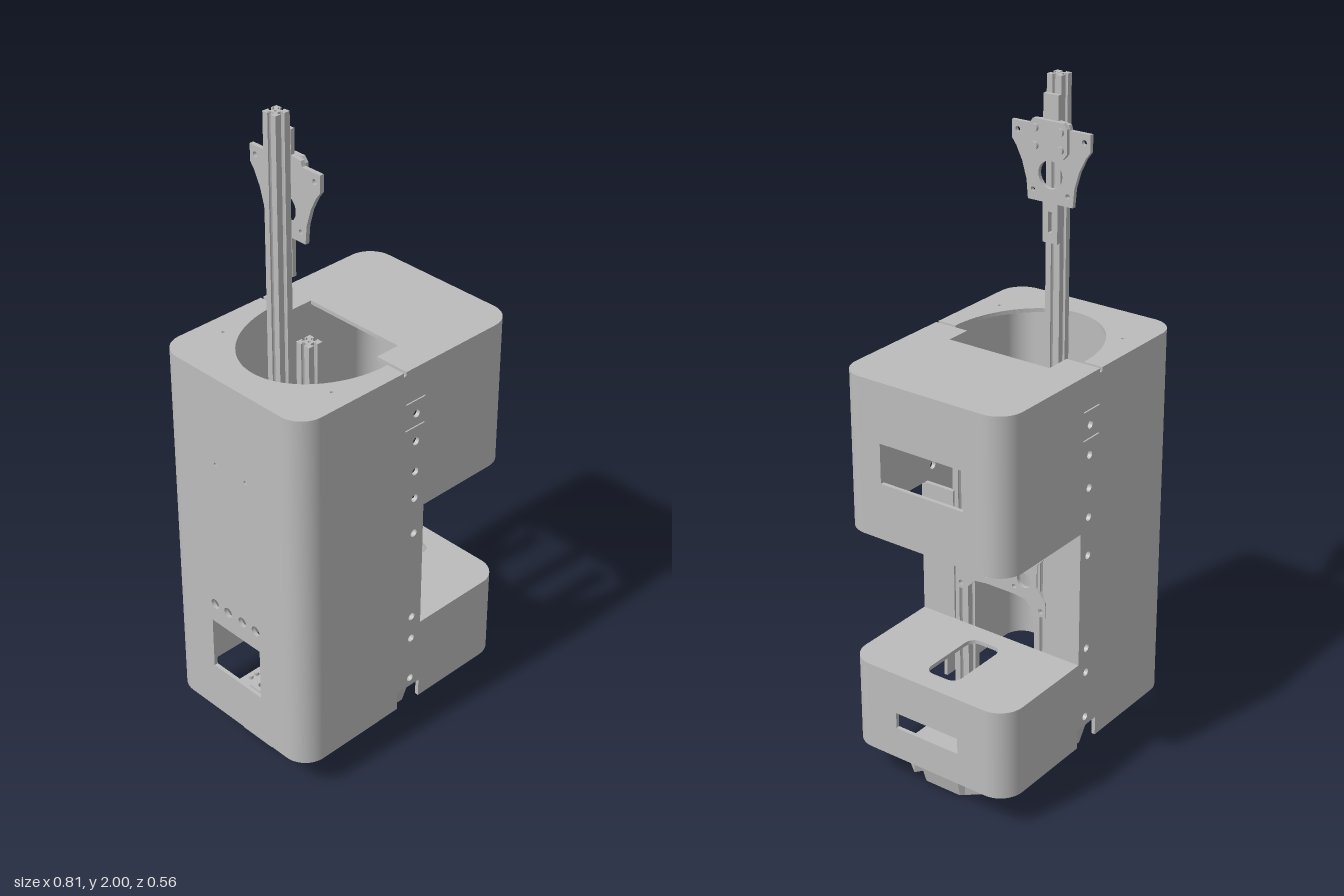
import * as THREE from 'three';

const X = 0.405, Z = 0.28, R = 0.075, T = 0.012;   // housing half sizes, corner radius, wall
const Y0 = 0.11, Y1 = 0.39, Y2 = 0.81, Y3 = 1.28;  // housing levels

const poly = pts => new THREE.Shape(pts.map(p => new THREE.Vector2(...p)));
const circle = (x, y, r, ry = r) => new THREE.Path().absellipse(x, y, r, ry, 0, Math.PI * 2, true);
const rect = (x0, y0, x1, y1) =>
  new THREE.Path([[x0, y0], [x0, y1], [x1, y1], [x1, y0]].map(p => new THREE.Vector2(...p)));
const mirrorPts = half => [...half, ...half.map(([x, y]) => [-x, y]).reverse()];

export function createModel() {
  const model = new THREE.Group();
  const grey = new THREE.MeshStandardMaterial({ color: 0xbcbcbc });
  grey.name = 'grey';

  const add = (name, geo, x = 0, y = 0, z = 0) => {
    const m = new THREE.Mesh(geo, grey);
    m.name = name;
    m.position.set(x, y, z);
    model.add(m);
    return m;
  };
  const extrude = (shape, depth, holes = []) => {
    shape.holes.push(...holes);
    return new THREE.ExtrudeGeometry(shape, { depth, bevelEnabled: false, curveSegments: 20 });
  };
  // Horizontal slab, drawn in (x, -z); vertical panel facing x, drawn in (-z, y)
  const slab = (name, shape, y, h, holes) => add(name, extrude(shape, h, holes).rotateX(-Math.PI / 2), 0, y, 0);
  const sidePanel = (name, shape, x, t, holes) => add(name, extrude(shape, t, holes).rotateY(Math.PI / 2), x, 0, 0);

  // Front and back housing walls with the C opening, bottom notch, screw holes and slits
  const xr = X - R, zr = Z - R;
  for (const s of [1, -1]) {
    const wall = poly([[-xr, Y0], [-0.03, Y0], [-0.03, 0.17], [0.06, 0.17], [0.06, Y0], [xr, Y0], [xr, Y1],
      [0.06, Y1], [0.06, Y2], [xr, Y2], [xr, Y3], [-0.02, Y3], [-0.02, Y3 - T], [-0.03, Y3 - T], [-0.03, Y3], [-xr, Y3]]);
    const holes = [1.13, 1.04, 0.94, 0.85, 0.73, 0.43, 0.35, 0.2].map(y => circle(0.023, y, 0.012));
    for (const y of [1.173, 1.088]) holes.push(rect(-0.02, y, 0.055, y + 0.004));
    add(s > 0 ? 'frontWall' : 'backWall', extrude(wall, T, holes), 0, 0, s > 0 ? Z - T : -Z);
  }

  // Rounded vertical corners
  const corner = (name, sx, sz, y, h) => {
    const a = Math.atan2(sz, sx) - Math.PI / 4;
    const sh = new THREE.Shape();
    sh.absarc(0, 0, R, a, a + Math.PI / 2, false);
    sh.absarc(0, 0, R - T, a + Math.PI / 2, a, true);
    const geo = extrude(sh, h).rotateX(-Math.PI / 2);
    // Smooth radial normals on the curved faces
    const p = geo.attributes.position, n = geo.attributes.normal;
    for (let i = 0; i < p.count; i++) {
      const px = p.getX(i) / R, pz = p.getZ(i) / R, l = Math.hypot(px, pz);
      const d = (n.getX(i) * px + n.getZ(i) * pz) / l;
      if (Math.abs(d) > 0.9) n.setXYZ(i, Math.sign(d) * px / l, 0, Math.sign(d) * pz / l);
    }
    add(name, geo, sx * xr, y, -sz * zr);
  };
  for (const sz of [1, -1]) {
    corner('leftEndCorner', -1, sz, Y0, Y3 - Y0);
    corner('lowerCorner', 1, sz, Y0, Y1 - Y0);
    corner('upperCorner', 1, sz, Y2, Y3 - Y2);
  }

  // End walls with their windows
  const endShape = (y0, y1) => poly([[-zr, y0], [zr, y0], [zr, y1], [-zr, y1]]);
  const vents = [-0.085, -0.03, 0.03, 0.085].map(z => circle(z, 0.505, 0.016));
  sidePanel('tallEndWall', endShape(Y0, Y3), -X, T,
    [rect(-0.1, 0.27, 0.1, 0.44), ...vents, circle(-0.06, 1.0, 0.006), circle(0.06, 1.0, 0.006)]);
  sidePanel('upperEndWall', endShape(Y2, Y3), X - T, T, [rect(-0.14, 0.98, 0.14, 1.1)]);
  sidePanel('lowerEndWall', endShape(Y0, Y1), X - T, T, [rect(-0.11, 0.21, 0.11, 0.26)]);

  // Inner return panels beside the C opening
  for (const s of [1, -1])
    add('returnPanel', new THREE.BoxGeometry(T, Y2 - Y1, 0.103), 0.06 - T / 2, (Y1 + Y2) / 2, s * 0.2165);

  // Top plate, two halves around the D opening
  const topLeft = new THREE.Shape();
  topLeft.moveTo(-0.03, Z);
  topLeft.lineTo(-xr, Z);
  topLeft.absarc(-xr, zr, R, Math.PI / 2, Math.PI, false);
  topLeft.absarc(-xr, -zr, R, Math.PI, Math.PI * 1.5, false);
  topLeft.lineTo(-0.03, -Z);
  topLeft.lineTo(-0.03, -0.22);
  topLeft.absellipse(-0.03, 0, 0.285, 0.22, Math.PI * 1.5, Math.PI / 2, true);
  slab('topPlateLeft', topLeft, Y3 - T, T, [circle(-0.23, 0.213, 0.005), circle(-0.23, -0.213, 0.005)]);
  const roundEnd = (x0, bite) => {
    const sh = new THREE.Shape();
    sh.moveTo(x0, -Z);
    sh.lineTo(xr, -Z);
    sh.absarc(xr, -zr, R, -Math.PI / 2, 0, false);
    sh.absarc(xr, zr, R, 0, Math.PI / 2, false);
    sh.lineTo(x0, Z);
    bite.forEach(p => sh.lineTo(...p));
    return sh;
  };
  slab('topPlateRight', roundEnd(-0.02, [[-0.02, 0.17], [0.06, 0.17], [0.06, -0.17], [-0.02, -0.17]]), Y3 - T, T);

  // Shelf on the lower box with a rounded recess
  const slot = new THREE.Path();
  slot.moveTo(0.15, 0.055);
  slot.absarc(0.31, 0.025, 0.03, Math.PI / 2, 0, true);
  slot.absarc(0.31, -0.025, 0.03, 0, -Math.PI / 2, true);
  slot.absarc(0.15, -0.025, 0.03, -Math.PI / 2, -Math.PI, true);
  slot.absarc(0.15, 0.025, 0.03, Math.PI, Math.PI / 2, true);
  slab('lowerShelf', roundEnd(0.06, []), Y1 - T, T, [slot]);

  // Slotted profile posts
  const post = (name, x, z, h, y0, y1) => {
    const pts = [], g = h * 0.24, d = h * 0.45;
    for (let k = 0; k < 4; k++) {
      const c = Math.round(Math.cos(k * Math.PI / 2)), s = Math.round(Math.sin(k * Math.PI / 2));
      for (const [a, b] of [[h, -h], [h, -g], [h - 0.005, -g], [h - 0.005, -g * 1.8], [d, -g],
        [d, g], [h - 0.005, g * 1.8], [h - 0.005, g], [h, g]]) pts.push([a * c - b * s, a * s + b * c]);
    }
    const geo = extrude(poly(pts), y1 - y0, [circle(0, 0, h * 0.18)]).rotateX(-Math.PI / 2);
    add(name, geo, x, y0, z);
  };
  post('mast', -0.214, 0, 0.024, Y0, 2);
  for (const s of [1, -1]) post('innerPost', 0.028, s * 0.145, 0.026, Y0, 1.17);

  // Upper carriage on the mast
  const carriage = poly(mirrorPts([[0.025, 1.53], [0.025, 1.645], [0.075, 1.645], [0.08, 1.7], [0.095, 1.75],
    [0.115, 1.79], [0.13, 1.81], [0.13, 1.86], [0.065, 1.86], [0.06, 1.875], [0.025, 1.88], [0.025, 1.95]]));
  sidePanel('carriagePlate', carriage, -0.189, 0.013, [circle(0, 1.725, 0.04), rect(-0.006, 1.56, 0.006, 1.62),
    ...[-1, 1].flatMap(s => [circle(s * 0.11, 1.835, 0.008), circle(s * 0.058, 1.675, 0.007)])]);
  const bracket = poly(mirrorPts([[0.05, 1.78], [0.062, 1.795], [0.062, 1.865], [0.05, 1.88]]));
  sidePanel('carriageBracket', bracket, -0.176, 0.012);
  for (const s of [1, -1]) for (const y of [1.805, 1.855])
    add('carriageBolt', new THREE.CylinderGeometry(0.011, 0.011, 0.01, 16).rotateZ(Math.PI / 2), -0.16, y, s * 0.042);

  // X-shaped mounting plate in the C opening
  const mount = poly(mirrorPts([[0.05, 0.545], [0.09, 0.54], [0.13, 0.5], [0.16, 0.5], [0.16, 0.55], [0.13, 0.59],
    [0.13, 0.66], [0.16, 0.695], [0.16, 0.75], [0.13, 0.75], [0.09, 0.71], [0.05, 0.705]]));
  sidePanel('mountingPlate', mount, 0.045, 0.012, [circle(0, 0.615, 0.034),
    ...[-1, 1].flatMap(s => [circle(s * 0.06, 0.655, 0.024), circle(s * 0.085, 0.6, 0.024),
      circle(s * 0.143, 0.732, 0.008), circle(s * 0.143, 0.518, 0.008), circle(s * 0.05, 0.57, 0.007)])]);

  // Base chassis, tapering toward the floor
  const halfBase = [[0.36, -0.07], [0.36, 0.07], [0.3, 0.145], [0.13, 0.145], [0.1, 0.21]];
  const base = poly([...halfBase, ...halfBase.map(([x, z]) => [-x, z]).reverse().slice(0, 4),
    [-0.36, -0.07], [-0.3, -0.145], [-0.13, -0.145], [-0.1, -0.21], [0.1, -0.21], [0.13, -0.145], [0.3, -0.145]]);
  const baseGeo = extrude(base, 0.1).rotateX(-Math.PI / 2);
  const bp = baseGeo.attributes.position;
  for (let i = 0; i < bp.count; i++)
    if (bp.getY(i) < 0.05) bp.setXYZ(i, bp.getX(i) * 0.93, bp.getY(i), bp.getZ(i) * 0.87);
  baseGeo.computeVertexNormals();
  add('chassis', baseGeo, 0, 0.01, 0);
  add('floorPad', new THREE.BoxGeometry(0.3, 0.01, 0.08), 0, 0.005, 0);

  // Sensor pods on the chassis lobes
  for (const sx of [1, -1]) for (const sz of [1, -1]) {
    add('sensorFrame', new THREE.BoxGeometry(0.07, 0.065, 0.02), sx * 0.235, 0.06, sz * 0.14);
    add('sensorLens', new THREE.CylinderGeometry(0.014, 0.014, 0.012, 16).rotateX(Math.PI / 2), sx * 0.235, 0.06, sz * 0.154);
    add('cornerPod', new THREE.BoxGeometry(0.05, 0.06, 0.025), sx * 0.325, 0.065, sz * 0.105)
      .rotation.y = sx * sz * 0.9;
  }

  // Interior deck plate and mast foot
  const deck = poly([[0.058, -0.17], [0.058, 0.17], [-0.02, 0.17], [-0.03, 0.205], [-0.055, 0.17], [-0.07, 0.12],
    [-0.1, 0.092], [-0.17, 0.085], [-0.17, -0.085], [-0.1, -0.092], [-0.07, -0.12], [-0.055, -0.17],
    [-0.03, -0.205], [-0.02, -0.17]]);
  slab('deckPlate', deck, 0.125, 0.01, [circle(-0.08, 0, 0.04), circle(0.02, 0, 0.025, 0.063),
    ...[-1, 1].flatMap(s => [circle(-0.135, s * 0.052, 0.005), circle(-0.03, s * 0.052, 0.005)])]);
  slab('mastFoot', poly([[-0.29, -0.078], [-0.24, -0.078], [-0.185, -0.1], [-0.185, 0.1], [-0.24, 0.078],
    [-0.29, 0.078]]), 0.11, 0.03, [circle(-0.267, 0.052, 0.01), circle(-0.267, -0.052, 0.01)]);
  add('mastRib', new THREE.BoxGeometry(0.05, 0.07, 0.008), -0.262, 0.17, 0);
  for (const s of [1, -1]) for (const x of [-0.245, -0.222])
    add('deckBolt', new THREE.CylinderGeometry(0.008, 0.008, 0.012, 16), x, 0.115, s * 0.125);
  return model;
}
